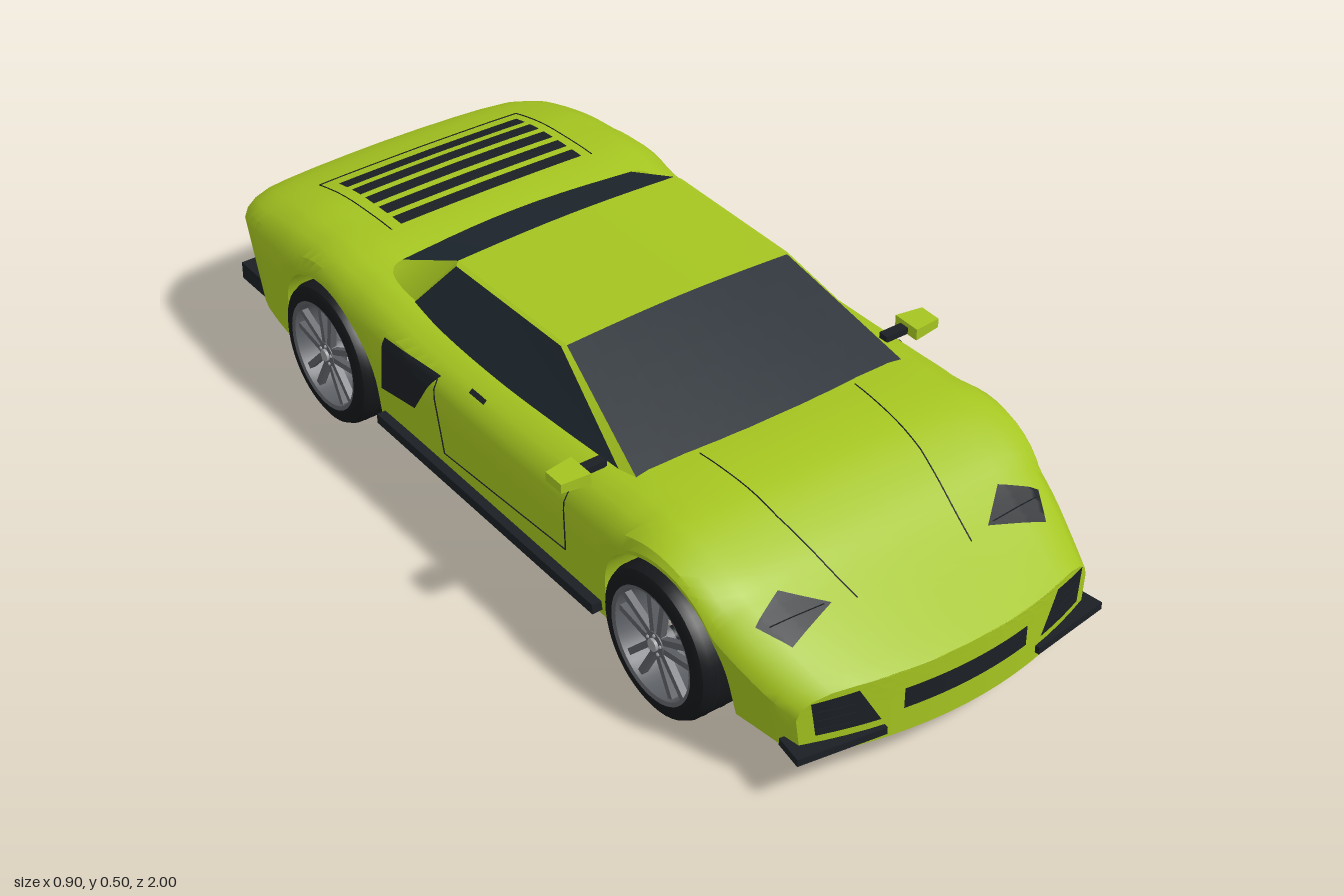
import * as THREE from 'three';
import { toCreasedNormals } from 'three/addons/utils/BufferGeometryUtils.js';
import { ParametricGeometry } from 'three/addons/geometries/ParametricGeometry.js';

const mat = (color) => new THREE.MeshStandardMaterial({ color, side: THREE.DoubleSide });
const paint = mat(0xa5c520), black = mat(0x1b1f24), glass = mat(0x1f2830), rubber = mat(0x15171a);
const alloy = mat(0x5c5f64), red = mat(0xb8301c), metal = mat(0x9a9da0);
const lerp = THREE.MathUtils.lerp;
const V = (x, y, z) => new THREE.Vector3(x, y, z);

// Body stations: z, top height, half width, height of the widest point, inset of the sill
const STATIONS = [
  [1, .226, .345, .17, .01], [.9, .264, .367, .2, .025], [.8, .304, .387, .24, .035], [.7, .348, .4, .28, .035],
  [.6, .38, .407, .305, .03], [.5, .39, .41, .31, .025], [.4, .387, .41, .305, .025], [.2, .378, .41, .3, .025],
  [0, .372, .41, .3, .025], [-.2, .376, .41, .305, .025], [-.32, .39, .411, .31, .025], [-.45, .41, .413, .315, .025],
  [-.55, .412, .413, .32, .025], [-.7, .4, .41, .315, .025], [-.85, .36, .395, .3, .03], [-.93, .33, .368, .28, .03],
  [-.945, .32, .358, .27, .03],
];
const ACROSS = [0, .25, .5, .7, .82, .92, .98, 1];
const DROP = [0, .01, .03, .07, .13, .34, .66, 1];
const FLOOR = .08, AXLE = .155, ARCH = .175, WELL = .29;
const AXLES = [.605, -.53];

// Smooth interpolation of the stations along z
function station(z) {
  const S = STATIONS, n = S.length - 1;
  let i = 0;
  while (i < n - 1 && z < S[i + 1][0]) i++;
  const t = THREE.MathUtils.clamp((z - S[i][0]) / (S[i + 1][0] - S[i][0]), 0, 1), d = S[i + 1][0] - S[i][0];
  const slope = (k, c) => {
    const a = S[Math.max(k - 1, 0)], b = S[Math.min(k + 1, n)];
    return (b[c] - a[c]) / (b[0] - a[0]) * d;
  };
  return [1, 2, 3, 4].map((c) => {
    const t2 = t * t, t3 = t2 * t;
    return (2 * t3 - 3 * t2 + 1) * S[i][c] + (t3 - 2 * t2 + t) * slope(i, c)
      + (3 * t2 - 2 * t3) * S[i + 1][c] + (t3 - t2) * slope(i + 1, c);
  });
}

// Half cross-section: over the top, down the side, round the wheel well, under the floor
function section(z) {
  const [top, w, yWide, inset] = station(z);
  let low = FLOOR;
  for (const a of AXLES) {
    const d = Math.abs(z - a);
    if (d <= ARCH + 1e-6) low = AXLE + Math.sqrt(Math.max(0, ARCH * ARCH - d * d));
  }
  const yw = Math.max(yWide, low + .01);
  const pts = ACROSS.map((f, i) => [f * w, top - DROP[i] * (top - yw)]);
  for (const t of [.33, .66, 1]) {
    const y = lerp(yw, low, t);
    pts.push([w - inset * (yw - y) / (yw - FLOOR), y]);
  }
  pts.push([WELL, low], [WELL, FLOOR], [0, FLOOR]);
  return pts;
}

// Rounding of the nose and tail in plan
const bow = (z) => z > .7 ? .57 * ((z - .7) / .3) ** 2 : z < -.85 ? -.1 * (-.85 - z) / .095 : 0;
const bend = (x, z) => z - bow(z) * x * x;

// Points lying just above the body skin
const onTop = (x, z) => {
  const p = section(z + bow(z) * x * x), ax = Math.abs(x);
  let i = 0;
  while (i < 6 && ax > p[i + 1][0]) i++;
  return V(x, lerp(p[i][1], p[i + 1][1], (ax - p[i][0]) / (p[i + 1][0] - p[i][0])) + .003, z);
};
const onSide = (s) => (z, y) => {
  const p = section(z);
  let i = 3;
  while (i < 9 && y < p[i + 1][1]) i++;
  return V(s * (lerp(p[i][0], p[i + 1][0], (y - p[i][1]) / (p[i + 1][1] - p[i][1])) + .003), y, z);
};
const onNose = (x, y) => V(x, y, 1.003 - .57 * x * x);
const onTail = (x, y) => V(x, y, -.949 + .1 * x * x);

export function createModel() {
  const car = new THREE.Group();
  const add = (name, geo, material, parent = car) => {
    const m = new THREE.Mesh(geo, material);
    m.name = name;
    parent.add(m);
    return m;
  };
  const box = (name, size, pos, material, parent) => {
    const m = add(name, new THREE.BoxGeometry(...size), material, parent);
    m.position.set(...pos);
    return m;
  };
  // Four-cornered panel laid on a surface
  const patch = (name, c, map, material, n = 10) => add(name, new ParametricGeometry((u, v, t) => {
    const at = (k) => lerp(lerp(c[0][k], c[1][k], u), lerp(c[3][k], c[2][k], u), v);
    t.copy(map(at(0), at(1)));
  }, n, n), material);
  // Flat or gently bulging panel through four points in space
  const panel = (name, c, material, bulge0 = V(0, 0, 0), bulge1 = bulge0) => add(name, new ParametricGeometry((u, v, t) => {
    const [a, b, d, e] = c.map((p) => V(...p));
    t.copy(a.lerp(b, u).lerp(e.lerp(d, u), v));
    t.addScaledVector(bulge0.clone().lerp(bulge1, v), Math.sin(Math.PI * u));
  }, 10, 6), material);
  // Thin panel gap drawn along a surface
  const seam = (name, pts, map) => pts.slice(1).forEach((b, i) => {
    const a = pts[i], path = [];
    for (let k = 0; k <= 8; k++) path.push(map(lerp(a[0], b[0], k / 8), lerp(a[1], b[1], k / 8)).add(V(0, -.002, 0)));
    add(name, new THREE.TubeGeometry(new THREE.CatmullRomCurve3(path), 8, .0015, 4), black);
  });
  const rect = (x0, x1, y0, y1) => [[x0, y0], [x1, y0], [x1, y1], [x0, y1]];

  // Body shell with wheel arches
  const zs = [];
  for (let i = 0; i <= 60; i++) {
    const z = 1 - 1.945 * i / 60;
    if (AXLES.every((a) => Math.abs(z - a) > ARCH + .004)) zs.push(z);
  }
  for (const a of AXLES) {
    for (let k = 0; k <= 20; k++) zs.push(a + ARCH * Math.cos(Math.PI * k / 20));
    zs.push(a + ARCH + .001, a - ARCH - .001);
  }
  zs.sort((a, b) => b - a);
  const rings = zs.map((z) => {
    const h = section(z);
    return [...h, ...h.slice(0, -1).reverse().map(([x, y]) => [-x, y])].map(([x, y]) => V(x, y, bend(x, z)));
  });
  const nu = rings[0].length - 1, nv = rings.length - 1;
  const shell = new ParametricGeometry((u, v, t) => t.copy(rings[Math.round(v * nv)][Math.round(u * nu)]), nu, nv);
  add('body', toCreasedNormals(shell, .5), paint);
  for (const [name, z, s] of [['noseFace', 1, 1], ['tailFace', -.945, -1]]) {
    const h = section(z).filter((p, i) => i > 0 && i < 11);
    add(name, new ParametricGeometry((u, v, t) => {
      const [px, y] = h[Math.round(v * 9)], x = px * (1 - 2 * u) * s;
      t.set(x, y, bend(x, z));
    }, 16, 9), paint);
  }
  box('underbody', [.58, .006, 1.66], [0, .078, .01], black);

  // Cabin
  const both = (p) => [[-p[0], p[1], p[2]], p];
  const A = [.264, .488, .13], B = [.318, .376, .43], R = [.264, .482, -.24], E = [.285, .398, -.42];
  const rise = V(0, .008, 0);
  panel('windscreen', [...both(A), ...both(B).reverse()], glass, rise, V(0, .006, .02));
  panel('roof', [...both(R), ...both(A).reverse()], paint, rise);
  panel('rearWindow', [...both(R), ...both(E).reverse()], glass, rise, V(0, -.002, -.035));
  for (const s of [1, -1]) {
    const m = (...pts) => pts.map(([x, y, z]) => [s * x, y, z]);
    const T = [.272, .485, .122], P = [.336, .355, .43], Q = [.275, .479, -.23], W = [.348, .345, -.325];
    panel('windscreenPillar', m(A, T, P, B), paint);
    panel('roofRail', m(A, R, Q, T), paint);
    panel('sideWindow', m(T, Q, W, P), glass);
    panel('rearPillar', m(R, Q, W, W), paint);
    panel('buttress', m(R, W, [.365, .372, -.46], E), paint);

    // Bonnet and nose details
    patch('headlight', [[s * .185, .828], [s * .26, .768], [s * .335, .8], [s * .3, .862]], onTop, black);
    seam('headlightTrim', [[s * .2, .825], [s * .26, .82], [s * .315, .815]], (x, z) => onTop(x, z).add(V(0, .003, 0)));
    seam('bonnetLine', [[s * .185, .44], [s * .17, .65], [s * .135, .84]], onTop);
    patch('noseIntake', [[s * .19, .13], [s * .312, .13], [s * .322, .205], [s * .235, .212]], onNose, black);
    for (const y of [.145, .165, .185]) seam('intakeSlat', [[s * .24, y], [s * .31, y]], onNose);
    box('frontSplitter', [.185, .016, .065], [s * .268, .104, .945], black).rotation.y = s * .15;

    // Flank details
    const side = onSide(s);
    patch('sideIntake', [[-.11, .335], [-.295, .328], [-.332, .18], [-.205, .205]], side, black);
    seam('doorLine', [[.33, .345], [.31, .18], [-.11, .15], [-.115, .33]], side);
    patch('doorHandle', rect(-.025, .025, .341, .348), side, black);
    box('sideSkirt', [.04, .022, .75], [s * .39, .104, .035], black);
    box('mirrorArm', [.08, .014, .022], [s * .375, .38, .345], black);
    const mirror = new THREE.CylinderGeometry(.028, .036, .062, 4, 1).rotateY(Math.PI / 4).rotateZ(-s * Math.PI / 2);
    const housing = add('mirror', toCreasedNormals(mirror.scale(1, .5, 1.25), .3), paint);
    housing.position.set(s * .42, .384, .35);

    // Tail lights and exhausts
    patch('tailLightPanel', rect(s * .15, s * .325, .25, .282), onTail, black);
    patch('tailLight', rect(s * .21, s * .315, .258, .273), (x, y) => onTail(x, y).add(V(0, 0, -.003)), red);
    const pipe = add('exhaust', new THREE.CylinderGeometry(.02, .02, .07, 20, 1, true).rotateX(Math.PI / 2), metal);
    pipe.position.set(s * .265, .135, -.965);
    const bore = add('exhaustBore', new THREE.CircleGeometry(.019, 20), black);
    bore.position.set(s * .265, .135, -.985);
  }
  patch('noseGrille', rect(-.145, .145, .138, .184), onNose, black);
  patch('tailGrille', rect(-.315, .315, .165, .222), onTail, black);
  patch('plate', rect(-.06, .06, .245, .275), onTail, metal);

  // Engine cover louvres
  for (let i = 0; i < 5; i++) {
    const z = -.53 - .0525 * i;
    patch('louvre', rect(-.225, .225, z - .017, z + .017), onTop, black);
  }
  seam('engineCoverLine', [[-.25, -.51], [-.25, -.795], [.25, -.795], [.25, -.51]], onTop);

  // Diffuser and fins
  box('diffuser', [.7, .04, .12], [0, .098, -.925], black);
  for (let i = -2; i <= 2; i++) box('diffuserFin', [.008, .05, .11], [i * .105, .096, -.932], black);

  // Wheels
  const lathe = (pts, n = 48) => new THREE.LatheGeometry(pts.map(([r, y]) => new THREE.Vector2(r, y)), n).rotateZ(-Math.PI / 2);
  const tyre = toCreasedNormals(lathe([[.118, -.057], [.138, -.057], [.149, -.051], [.155, -.037], [.155, .037],
    [.149, .051], [.138, .057], [.118, .057], [.118, -.057]]), .6);
  const rim = toCreasedNormals(lathe([[.12, .058], [.112, .055], [.11, .045], [.11, -.052], [.12, -.054]]), .6);
  for (const z of AXLES) for (const s of [1, -1]) {
    const wheel = new THREE.Group();
    wheel.name = z > 0 ? 'frontWheel' : 'rearWheel';
    wheel.position.set(s * .362, AXLE, z);
    wheel.scale.x = s;
    car.add(wheel);
    add('tyre', tyre, rubber, wheel);
    add('rim', rim, alloy, wheel);
    for (const x of [-.02, .02]) add('treadGroove', new THREE.TorusGeometry(.1535, .002, 4, 48).rotateY(Math.PI / 2), black, wheel).position.x = x;
    for (let k = 0; k < 5; k++) {
      const spoke = new THREE.Group();
      spoke.name = 'spoke';
      spoke.rotation.x = k * Math.PI * 2 / 5;
      wheel.add(spoke);
      for (const d of [1, -1]) box('spokeArm', [.014, .096, .013], [.04, .064, d * .015], alloy, spoke).rotation.x = d * .14;
      add('wheelBolt', new THREE.SphereGeometry(.004, 8, 6), metal, spoke).position.set(.049, .02, 0);
    }
    add('hub', new THREE.CylinderGeometry(.026, .032, .03, 24).rotateZ(-Math.PI / 2), alloy, wheel).position.x = .034;
    add('hubCap', new THREE.CylinderGeometry(.013, .013, .006, 20).rotateZ(-Math.PI / 2), metal, wheel).position.x = .052;
    add('axle', new THREE.CylinderGeometry(.018, .018, .1, 16).rotateZ(-Math.PI / 2), black, wheel).position.x = -.03;
    box('brakeCaliper', [.03, .05, .036], [.012, .073, .045], red, wheel).rotation.x = .3;
  }
  return car;
}
